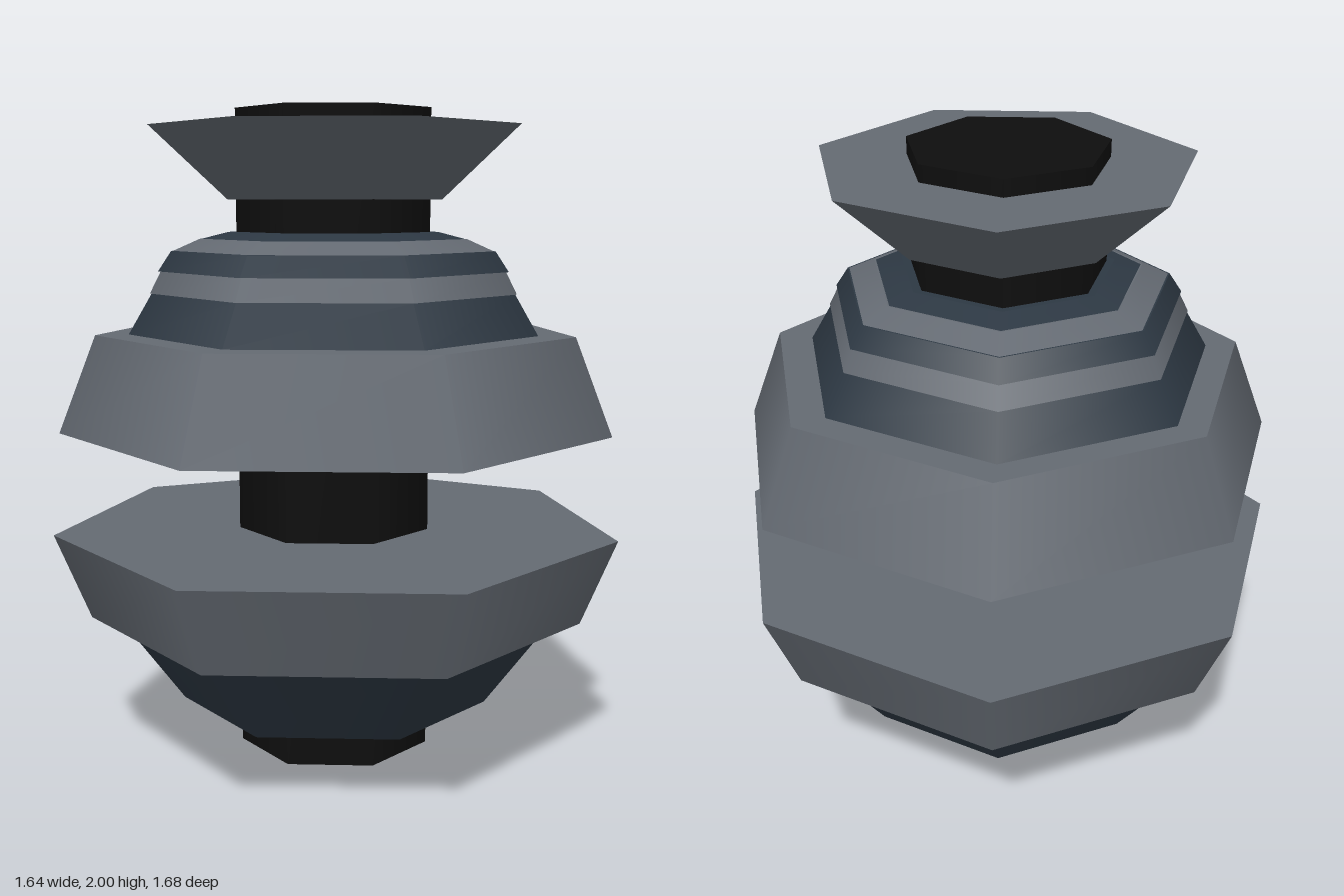
import * as THREE from 'three';

const SIDES = 7;

export function createModel() {
  const group = new THREE.Group();
  const grey = new THREE.MeshStandardMaterial({ color: 0x646a72 });
  const blue = new THREE.MeshStandardMaterial({ color: 0x2d3843 });
  const black = new THREE.MeshStandardMaterial({ color: 0x0e0e0e });
  grey.name = 'slateGrey';
  blue.name = 'darkBlue';
  black.name = 'black';

  // seven-sided frustum between two heights, with one corner towards +x
  function frustum(name, material, y0, r0, y1, r1, z = 0, open = false) {
    const geometry = new THREE.CylinderGeometry(r1, r0, y1 - y0, SIDES, 1, open, Math.PI / 2);
    const mesh = new THREE.Mesh(geometry, material);
    mesh.name = name;
    mesh.position.set(-0.043, (y0 + y1) / 2, z);
    group.add(mesh);
  }

  // central column with a shallow pointed foot
  frustum('column', black, 0.055, 0.295, 2.0, 0.295, -0.012);
  frustum('columnFoot', black, 0.004, 0, 0.055, 0.295, -0.012, true);

  // lower bowl and its flared rim
  frustum('bowlBase', blue, 0.14, 0.295, 0.205, 0.476, -0.008);
  frustum('bowl', blue, 0.205, 0.476, 0.48, 0.68, -0.008);
  frustum('bowlRim', grey, 0.48, 0.757, 0.74, 0.863);

  // upper skirt
  frustum('skirt', grey, 1.05, 0.836, 1.34, 0.723);

  // stepped dome of alternating bands
  const bands = [
    [blue, 1.34, 0.62, 1.46, 0.55],
    [grey, 1.46, 0.555, 1.525, 0.522],
    [blue, 1.525, 0.53, 1.585, 0.49],
    [grey, 1.585, 0.485, 1.62, 0.405],
    [blue, 1.62, 0.4, 1.64, 0.32],
  ];
  bands.forEach(([material, y0, r0, y1, r1], i) =>
    frustum(`domeBand${i + 1}`, material, y0, r0, y1, r1, -0.01));

  // flared collar at the top
  frustum('collar', grey, 1.735, 0.325, 1.95, 0.555, -0.003);

  return group;
}
